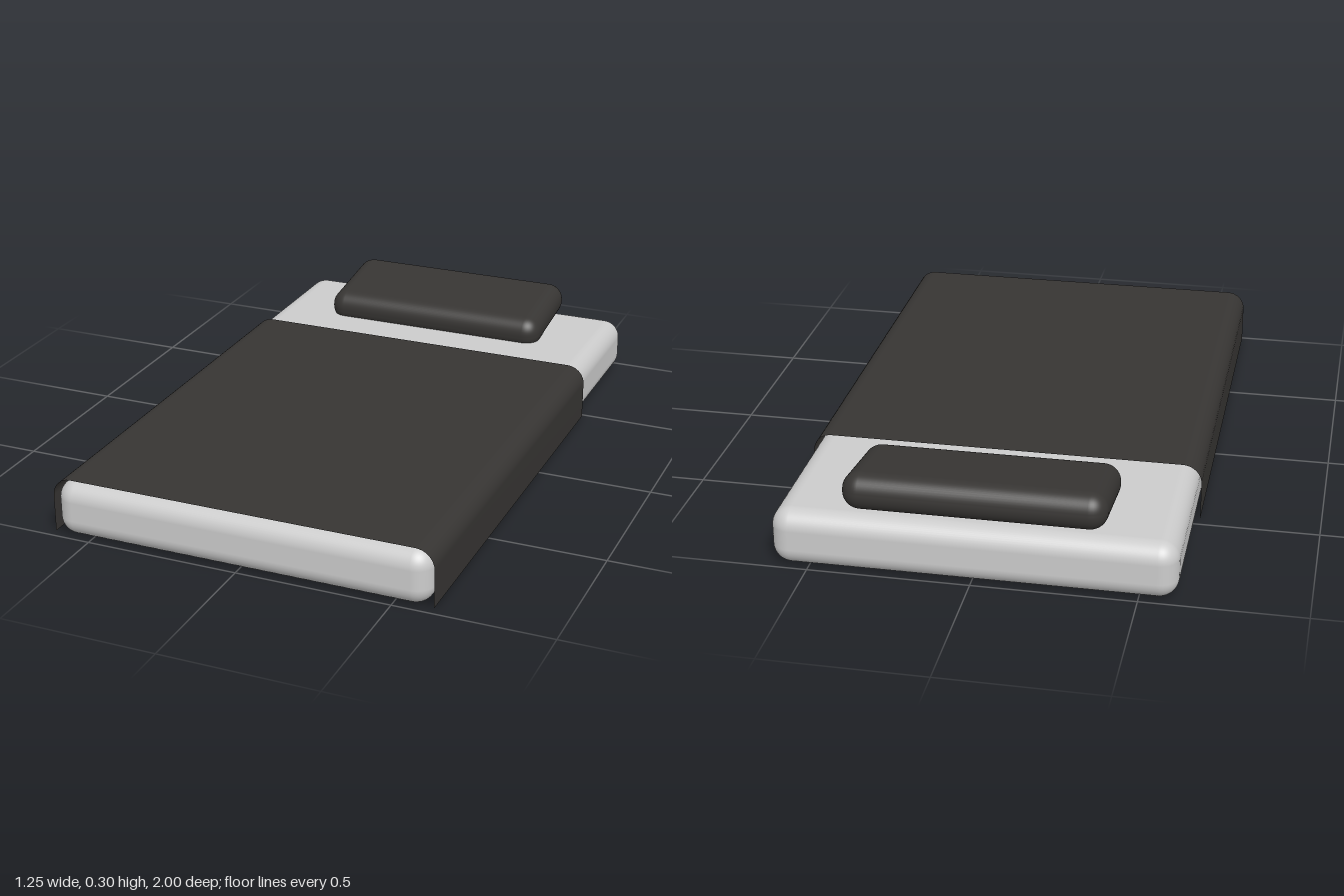
import * as THREE from 'three';
import { RoundedBoxGeometry } from 'three/addons/geometries/RoundedBoxGeometry.js';

const grey = new THREE.MeshStandardMaterial({ color: 0xcccccc });
const dark = new THREE.MeshStandardMaterial({ color: 0x373533 });
const cloth = new THREE.MeshStandardMaterial({ color: 0x373533, side: THREE.DoubleSide });

function roundedBlock(name, w, h, d, radius, material) {
  const mesh = new THREE.Mesh(new RoundedBoxGeometry(w, h, d, 6, radius), material);
  mesh.name = name;
  return mesh;
}

// Open sheet: a flat plane bent over the mattress cross-section
function blanketGeometry(halfWidth, bottom, top, radius, back, front) {
  const profile = [[-halfWidth, bottom]];
  const steps = 8;
  for (const side of [-1, 1]) {
    for (let i = 0; i <= steps; i++) {
      const t = (side < 0 ? i : steps - i) / steps * Math.PI / 2;
      profile.push([
        side * (halfWidth - radius + radius * Math.cos(t)),
        top - radius + radius * Math.sin(t),
      ]);
    }
  }
  profile.push([halfWidth, bottom]);

  const columns = profile.length;
  const geometry = new THREE.PlaneGeometry(1, 1, columns - 1, 1);
  const pos = geometry.attributes.position;
  for (let i = 0; i < pos.count; i++) {
    const [x, y] = profile[i % columns];
    pos.setXYZ(i, x, y, i < columns ? back : front);
  }
  geometry.computeVertexNormals();
  return geometry;
}

export function createModel() {
  const bed = new THREE.Group();
  bed.name = 'bed';

  // Mattress
  const mattress = roundedBlock('mattress', 1.23, 0.182, 2, 0.06, grey);
  mattress.position.y = 0.091;

  // Blanket draped over the top and down both sides
  const blanket = new THREE.Mesh(blanketGeometry(0.625, 0.006, 0.19, 0.06, -0.475, 0.98), cloth);
  blanket.name = 'blanket';

  // Pillow, tilted up towards the head end
  const pillow = roundedBlock('pillow', 0.8, 0.116, 0.355, 0.055, dark);
  pillow.position.set(0, 0.228, -0.797);
  pillow.rotation.x = 0.14;

  bed.add(mattress, blanket, pillow);
  return bed;
}
